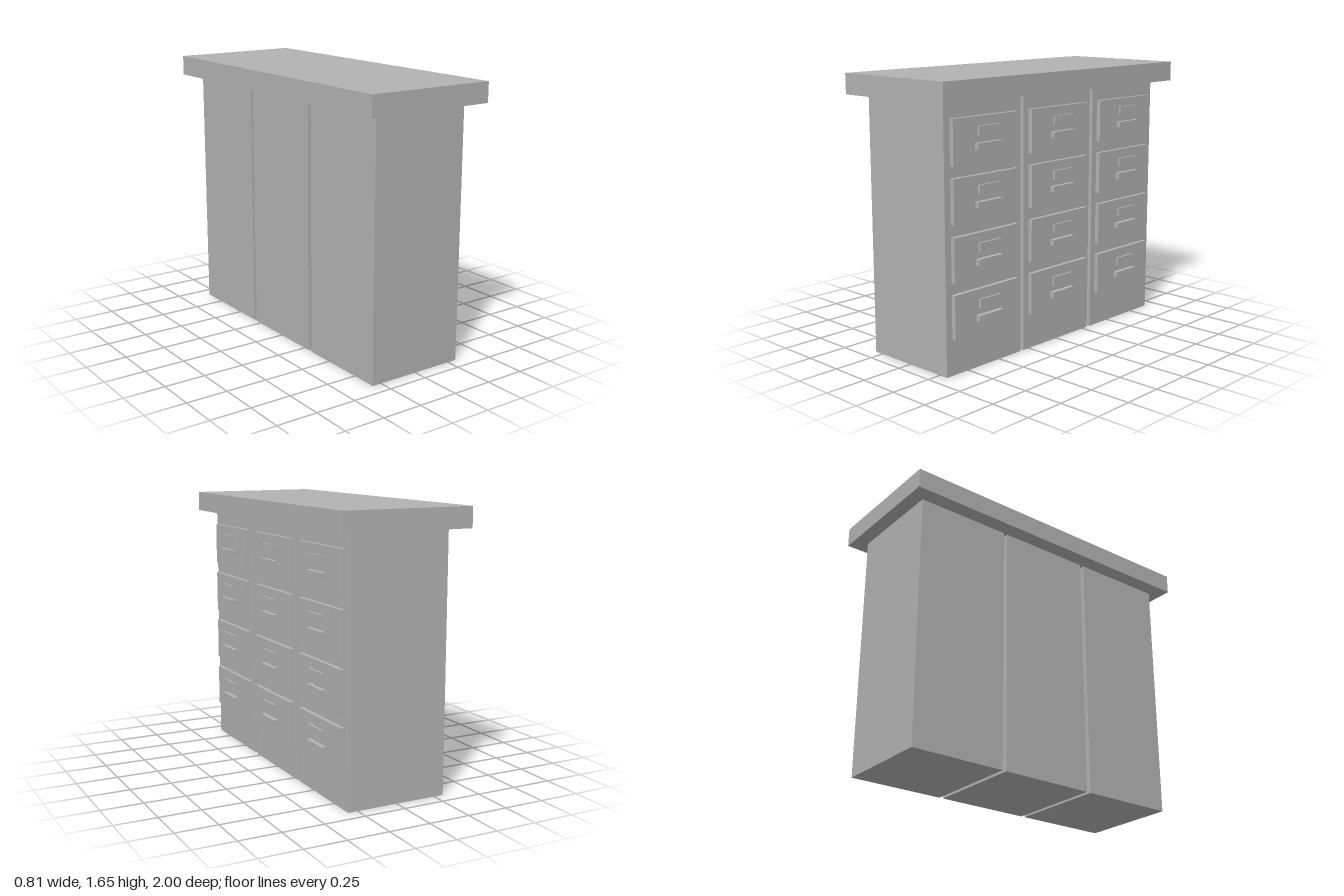
import * as THREE from 'three';

const grey = new THREE.MeshStandardMaterial({ color: 0xb2b2b2 });
grey.name = 'grey';

// Box given by its lower and upper limits on each axis
function box(name, [x0, x1], [y0, y1], [z0, z1]) {
  const mesh = new THREE.Mesh(new THREE.BoxGeometry(x1 - x0, y1 - y0, z1 - z0), grey);
  mesh.position.set((x0 + x1) / 2, (y0 + y1) / 2, (z0 + z1) / 2);
  mesh.name = name;
  return mesh;
}

// Drawer front with label holder and pull, measured from its bottom edge
function createDrawer() {
  const drawer = new THREE.Group();
  drawer.name = 'drawer';
  drawer.add(
    box('drawerFront', [0.309, 0.335], [0, 0.256], [-0.252, 0.252]),
    box('labelHolder', [0.35, 0.363], [0.154, 0.205], [-0.083, 0.083]),
    box('drawerPull', [0.34, 0.368], [0.076, 0.112], [-0.094, 0.094])
  );
  return drawer;
}

export function createModel() {
  const model = new THREE.Group();
  model.name = 'filingCabinetCounter';

  // Overhanging worktop
  model.add(box('worktop', [-0.405, 0.405], [1.528, 1.649], [-1, 1]));

  // Three cabinets side by side, four drawers each, opening towards +x
  for (const z of [-0.618, 0, 0.618]) {
    const cabinet = new THREE.Group();
    cabinet.name = 'cabinet';
    cabinet.position.z = z;
    cabinet.add(box('cabinetBody', [-0.309, 0.309], [0, 1.528], [-0.296, 0.296]));
    for (let i = 0; i < 4; i++) {
      const drawer = createDrawer();
      drawer.position.y = 0.212 + i * 0.324;
      cabinet.add(drawer);
    }
    model.add(cabinet);
  }
  return model;
}
